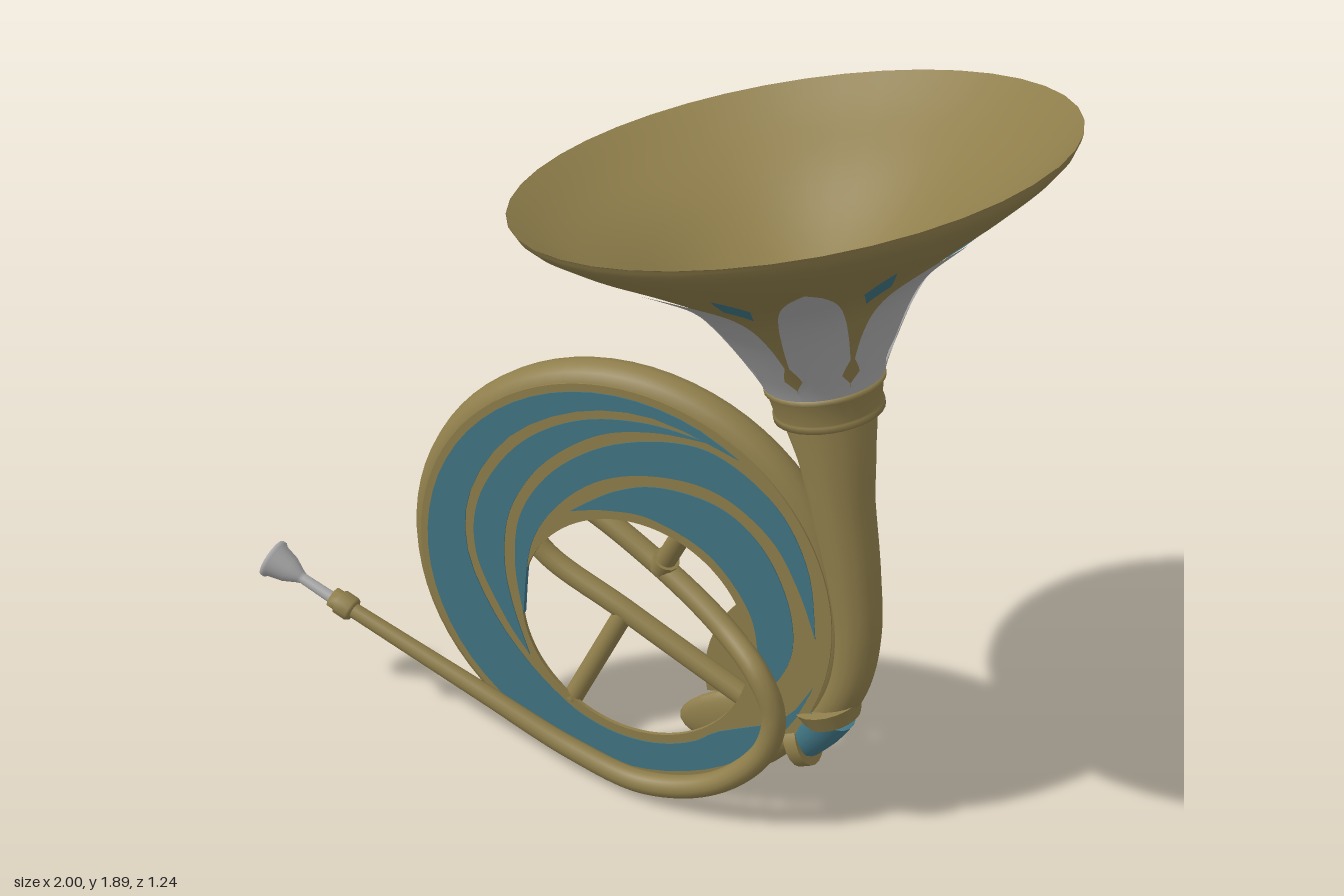
import * as THREE from 'three';

const mat = (name, color) => new THREE.MeshStandardMaterial({ name, color, side: THREE.DoubleSide });
const V3 = (x, y, z = 0) => new THREE.Vector3(x, y, z);
const V2 = ([x, y]) => new THREE.Vector2(x, y);

function add(parent, name, geometry, material) {
  const mesh = new THREE.Mesh(geometry, material);
  mesh.name = name;
  parent.add(mesh);
  return mesh;
}

// Point a y-axis part along a direction.
function aim(mesh, pos, dir) {
  mesh.position.copy(pos);
  mesh.quaternion.setFromUnitVectors(V3(0, 1, 0), dir.clone().normalize());
  return mesh;
}

// Tube through points [x, y, z, radius] with a radius that varies along it.
function taperedTube(points, segments, sides = 16) {
  const curve = new THREE.CatmullRomCurve3(points.map(([x, y, z]) => V3(x, y, z)));
  const geometry = new THREE.TubeGeometry(curve, segments, 1, sides);
  const pos = geometry.attributes.position;
  const v = V3(0, 0);
  for (let i = 0; i <= segments; i++) {
    const u = i / segments;
    const c = curve.getPointAt(u);
    const s = curve.getUtoTmapping(u) * (points.length - 1);
    const k = Math.min(Math.floor(s), points.length - 2);
    const r = THREE.MathUtils.lerp(points[k][3], points[k + 1][3], s - k);
    for (let j = 0; j <= sides; j++) {
      const n = i * (sides + 1) + j;
      v.fromBufferAttribute(pos, n).sub(c).multiplyScalar(r).add(c);
      pos.setXYZ(n, v.x, v.y, v.z);
    }
  }
  return geometry;
}

function arc(cx, cy, r, from, to, n = 14) {
  return Array.from({ length: n + 1 }, (_, i) => {
    const a = THREE.MathUtils.degToRad(from + (to - from) * i / n);
    return [cx + r * Math.cos(a), cy + r * Math.sin(a)];
  });
}

function plate(shape, z, depth) {
  return new THREE.ExtrudeGeometry(shape, { depth, bevelEnabled: false, curveSegments: 48 }).translate(0, 0, z);
}

// Crescent between an outer edge and an inner edge running back to its start.
function crescent(outer, inner) {
  const a = new THREE.SplineCurve(outer.map(V2)).getPoints(48);
  const b = new THREE.SplineCurve([outer.at(-1), ...inner, outer[0]].map(V2)).getPoints(48);
  return new THREE.Shape([...a, ...b.slice(1, -1)]);
}

// Bell profile: radius and height above the collar.
const bellProfile = new THREE.SplineCurve([
  [0.118, -0.02], [0.125, 0.02], [0.153, 0.09], [0.224, 0.22], [0.29, 0.3],
  [0.395, 0.375], [0.52, 0.455], [0.6, 0.515], [0.621, 0.548]].map(V2)).getPoints(48);

function bellRadius(t) {
  const i = Math.max(1, bellProfile.findIndex(p => p.y >= t));
  const a = bellProfile[i - 1], b = bellProfile[i];
  return THREE.MathUtils.mapLinear(t, a.y, b.y, a.x, b.x);
}

// Thin painted patch on the bell; outline gives [height, half angle].
function bellPatch(outline, angle, rows = 28, cols = 6) {
  const p = [], index = [];
  const t0 = outline[0][0], t1 = outline.at(-1)[0];
  for (let i = 0; i <= rows; i++) {
    const t = t0 + (t1 - t0) * i / rows;
    const k = Math.max(1, outline.findIndex(o => o[0] >= t - 1e-9));
    const [ta, wa] = outline[k - 1], [tb, wb] = outline[k];
    const w = THREE.MathUtils.mapLinear(t, ta, tb, wa, wb);
    const r = bellRadius(t) + 0.005;
    for (let j = 0; j <= cols; j++) {
      const a = angle + w * (2 * j / cols - 1);
      p.push(r * Math.cos(a), t - 0.003, r * Math.sin(a));
      if (i < rows && j < cols) {
        const n = i * (cols + 1) + j, m = n + cols + 1;
        index.push(n, m, n + 1, n + 1, m, m + 1);
      }
    }
  }
  const geometry = new THREE.BufferGeometry();
  geometry.setAttribute('position', new THREE.Float32BufferAttribute(p, 3));
  geometry.setIndex(index);
  geometry.computeVertexNormals();
  return geometry;
}

export function createModel() {
  const model = new THREE.Group();
  model.name = 'ornateHorn';
  const gold = mat('gold', 0x8f7e4b);
  const teal = mat('teal', 0x407584);
  const silver = mat('silver', 0xaaaaaa);

  // Flared bell with petals and diamonds, tilted toward the mouthpiece
  const bell = new THREE.Group();
  bell.name = 'bell';
  bell.position.set(0.5, 1.23, 0);
  bell.rotation.z = 0.203;
  model.add(bell);
  add(bell, 'bellCone', new THREE.LatheGeometry(bellProfile, 40), gold);
  const bowl = new THREE.SplineCurve([[0, 0.2], [0.12, 0.215], [0.25, 0.285], [0.4, 0.395], [0.53, 0.48],
    [0.62, 0.548]].map(V2)).getPoints(20);
  add(bell, 'bellBowl', new THREE.LatheGeometry(bowl, 40), gold);
  add(bell, 'bellCollar', new THREE.LatheGeometry([[0.11, -0.045], [0.128, -0.045], [0.128, -0.03],
    [0.123, -0.028], [0.133, 0.025], [0.139, 0.027], [0.139, 0.04], [0.12, 0.042]].map(V2), 32), gold);
  const petal = [[0.035, 0.3927], [0.075, 0.3927], [0.105, 0.26], [0.145, 0.365], [0.2, 0.33],
    [0.26, 0.28], [0.31, 0.22], [0.36, 0.145], [0.395, 0.075], [0.42, 0]];
  const diamond = [[0.31, 0], [0.36, 0.08], [0.43, 0]];
  for (let k = 0; k < 8; k++) {
    add(bell, 'bellPetal', bellPatch(petal, (k + 0.5) * Math.PI / 4), silver);
    add(bell, 'bellDiamond', bellPatch(diamond, k * Math.PI / 4, 12, 4), teal);
  }

  // Stem from the bell into the ring tube
  add(model, 'stem', taperedTube([[0.5, 1.23, 0, 0.118], [0.53, 1.09, 0, 0.092], [0.552, 0.96, 0, 0.076],
    [0.588, 0.76, 0, 0.067], [0.605, 0.6, 0, 0.061], [0.588, 0.46, 0, 0.058], [0.53, 0.35, 0, 0.057],
    [0.43, 0.26, 0, 0.057]], 56, 20), gold);
  add(model, 'ringTube', new THREE.TorusGeometry(0.537, 0.057, 16, 72).translate(0.01, 0.599, 0), gold);

  // Pierced front plate with crescent inlays showing on both faces
  const disc = new THREE.Shape().absarc(0.01, 0.6, 0.555, 0, Math.PI * 2);
  disc.holes.push(new THREE.Path().absarc(0.05, 0.49, 0.31, 0, Math.PI * 2, true));
  add(model, 'ringPlate', plate(disc, 0.048, 0.01), gold);
  const inlays = [
    crescent(arc(0.01, 0.6, 0.535, 55, 345, 24), [[0.45, 0.34], ...arc(0.05, 0.49, 0.335, -45, -125, 6),
      [-0.24, 0.3], [-0.34, 0.43], [-0.41, 0.6], [-0.395, 0.78], [-0.28, 0.96], [-0.1, 1.07], [0.1, 1.098]]),
    crescent([[0.25, 1.065], [0.08, 1.08], [-0.1, 1.045], [-0.26, 0.94], [-0.37, 0.77], [-0.385, 0.6],
      [-0.31, 0.43], [-0.24, 0.33]],
    [[-0.285, 0.47], [-0.305, 0.6], [-0.285, 0.75], [-0.195, 0.9], [-0.05, 1.015], [0.1, 1.06]]),
    crescent([[-0.255, 0.45], [-0.275, 0.6], [-0.255, 0.75], [-0.165, 0.89], [-0.02, 0.995], [0.15, 1.045],
      [0.28, 1.03], [0.42, 0.93], [0.5, 0.78], [0.525, 0.6]],
    [[0.475, 0.73], [0.4, 0.85], [0.27, 0.935], [0.12, 0.945], [-0.03, 0.9], [-0.15, 0.8], [-0.23, 0.66]]),
    crescent([[-0.12, 0.79], [0, 0.875], [0.12, 0.915], [0.27, 0.9], [0.38, 0.82], [0.45, 0.69],
      [0.47, 0.56], [0.44, 0.46], [0.39, 0.4]],
    [[0.385, 0.49], [0.355, 0.63], [0.25, 0.76], [0.1, 0.822], [-0.02, 0.817]]),
  ];
  for (const shape of inlays) add(model, 'crescentInlay', plate(shape, 0.0455, 0.015), teal);

  // One long pipe: mouthpipe, right bend, and hairpin behind the plate
  add(model, 'mouthpipe', taperedTube([[-0.77, 0.36, 0.1, 0.02], [-0.36, 0.2, 0.1, 0.025],
    [-0.1, 0.1, 0.1, 0.028], [0.1, 0.065, 0.105, 0.03], [0.29, 0.125, 0.108, 0.03], [0.42, 0.26, 0.108, 0.03],
    [0.447, 0.38, 0.108, 0.03], [0.4, 0.485, 0.1, 0.03], [0.28, 0.56, 0.045, 0.03], [0.1, 0.655, 0, 0.029],
    [-0.13, 0.775, -0.015, 0.029], [-0.24, 0.795, -0.02, 0.029], [-0.305, 0.72, -0.02, 0.029],
    [-0.24, 0.605, -0.02, 0.029], [0, 0.48, -0.02, 0.029], [0.42, 0.27, -0.02, 0.029]], 150, 14), gold);

  // Braces across the hole
  for (const [a, b] of [[V3(0.18, 0.81, 0.035), V3(0.1, 0.655, 0)], [V3(-0.01, 0.475, -0.015), V3(-0.13, 0.215, 0.035)]]) {
    const d = b.clone().sub(a);
    aim(add(model, 'brace', new THREE.CylinderGeometry(0.026, 0.026, d.length(), 14), gold), a.clone().lerp(b, 0.5), d);
  }
  aim(add(model, 'braceCollar', new THREE.CylinderGeometry(0.034, 0.034, 0.035, 14), gold),
    V3(0.108, 0.67, 0.003), V3(0.08, 0.155, 0.035));

  // Ferrule and mouthpiece
  const lead = V3(-0.92, 0.39);
  const ferrule = [[0, -0.034], [0.03, -0.034], [0.034, -0.026], [0.034, 0.01], [0.028, 0.014], [0.028, 0.034], [0, 0.034]];
  aim(add(model, 'ferrule', new THREE.LatheGeometry(ferrule.map(V2), 10), gold), V3(-0.77, 0.36, 0.1), lead);
  const cup = [[0.016, 0], [0.014, 0.12], [0.018, 0.13], [0.036, 0.165], [0.047, 0.208], [0.053, 0.212],
    [0.053, 0.224], [0.044, 0.224], [0.03, 0.19], [0, 0.165]];
  aim(add(model, 'mouthpiece', new THREE.LatheGeometry(cup.map(V2), 16), silver), V3(-0.778, 0.358, 0.1), lead);

  // Flower clamp where the stem meets the ring
  add(model, 'clampCup', taperedTube([[0.555, 0.37, 0, 0.069], [0.53, 0.325, 0, 0.066], [0.485, 0.265, 0, 0.06]], 10, 20), teal);
  aim(add(model, 'clampCollar', new THREE.CylinderGeometry(0.088, 0.072, 0.045, 20), gold),
    V3(0.552, 0.368, 0), V3(-0.33, 0.94));
  aim(add(model, 'clampBand', new THREE.CylinderGeometry(0.074, 0.074, 0.034, 20), gold),
    V3(0.487, 0.262, 0), V3(0.92, 0.4));

  // Open blossom on the back: fan with teal rays, flanked by plump leaves
  const heart = [0.52, 0.34];
  const fan = (r, a, b) => new THREE.Shape([V2(heart), ...arc(...heart, r, a, b).map(V2)]);
  add(model, 'blossomFan', plate(fan(0.325, 116, 192), -0.075, 0.012), gold);
  for (let k = 0; k < 3; k++) {
    const a = 122 + k * 23;
    add(model, 'blossomRay', plate(fan(0.275, a, a + 18), -0.079, 0.006), teal);
  }
  for (const [x, y, length, width, angle] of [[0.46, 0.55, 0.185, 0.068, 1.75], [0.32, 0.215, 0.205, 0.085, 0.3]]) {
    const leaf = add(model, 'blossomLeaf', new THREE.SphereGeometry(1, 24, 14), gold);
    leaf.position.set(x, y, -0.075);
    leaf.scale.set(length, width, 0.03);
    leaf.rotation.z = angle;
  }
  return model;
}
